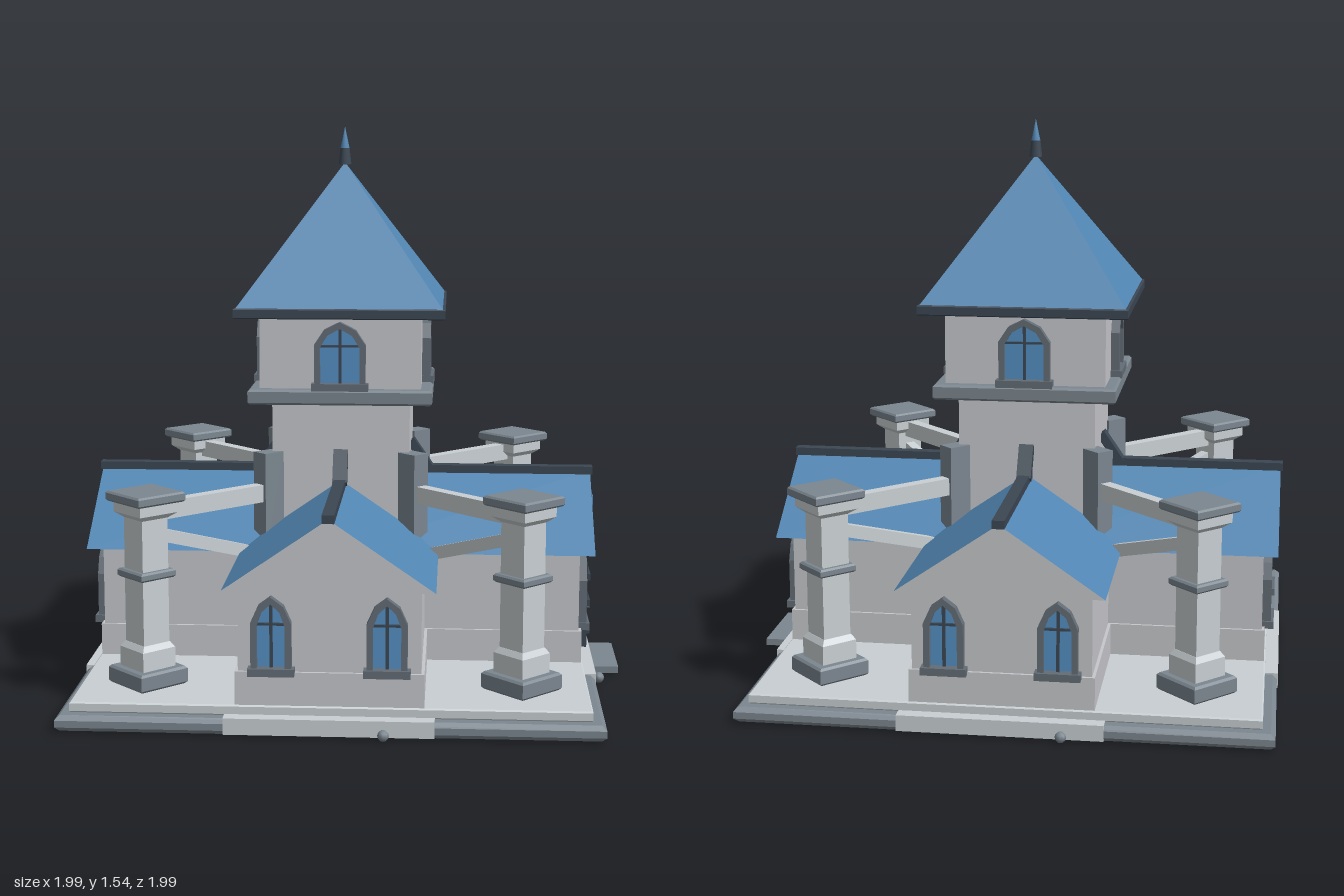
import * as THREE from 'three';

export function createModel() {
  const mat = (name, hex) => {
    const m = new THREE.MeshStandardMaterial({ color: hex });
    m.name = name;
    return m;
  };
  const wall = mat('pale wall', 0xc6c7cb);
  const stone = mat('light stone', 0xc8cfd2);
  const trim = mat('grey trim', 0x7b868f);
  const roof = mat('blue roof', 0x5186b3);
  const dark = mat('dark slate', 0x3b4753);
  const frame = mat('window frame', 0x636c75);
  const glass = mat('blue glass', 0x5590c4);

  const group = (name, parent) => {
    const g = new THREE.Group();
    g.name = name;
    parent.add(g);
    return g;
  };
  const add = (parent, name, geo, material) => {
    const m = new THREE.Mesh(geo, material);
    m.name = name;
    parent.add(m);
    return m;
  };
  // box given by its limits
  const box = (parent, name, material, x0, x1, y0, y1, z0, z1) => {
    const m = add(parent, name, new THREE.BoxGeometry(x1 - x0, y1 - y0, z1 - z0), material);
    m.position.set((x0 + x1) / 2, (y0 + y1) / 2, (z0 + z1) / 2);
    return m;
  };
  // square stack from [half width, y] pairs, flat-sided
  const stack = (parent, name, material, profile) => {
    const pts = profile.map(([h, y]) => new THREE.Vector2(h * Math.SQRT2, y));
    pts.unshift(new THREE.Vector2(0, pts[0].y));
    pts.push(new THREE.Vector2(0, pts[pts.length - 1].y));
    const geo = new THREE.LatheGeometry(pts, 4).rotateY(Math.PI / 4).toNonIndexed();
    geo.computeVertexNormals();
    return add(parent, name, geo, material);
  };
  const slab = (parent, name, material, h, y0, y1, b = 0.006) =>
    stack(parent, name, material, [[h - b, y0], [h, y0 + b], [h, y1 - b], [h - b, y1]]);
  // square beam between two points in the x-y plane
  const beam = (parent, name, material, x0, y0, x1, y1, tall, wide) => {
    const m = add(parent, name, new THREE.BoxGeometry(Math.hypot(x1 - x0, y1 - y0), tall, wide), material);
    m.position.set((x0 + x1) / 2, (y0 + y1) / 2, 0);
    m.rotation.z = Math.atan2(y1 - y0, x1 - x0);
    return m;
  };

  // pointed window with its base at y = 0, facing +z
  const arch = (S, w, h) => {
    const s = new S();
    s.moveTo(-w, 0);
    s.lineTo(w, 0);
    s.lineTo(w, h * 0.66);
    s.lineTo(w * 0.62, h * 0.88);
    s.lineTo(0, h);
    s.lineTo(-w * 0.62, h * 0.88);
    s.lineTo(-w, h * 0.66);
    s.closePath();
    return s;
  };
  const addWindow = (parent, x, y, z, w, h) => {
    const g = group('window', parent);
    g.position.set(x, y, z);
    const outer = arch(THREE.Shape, w, h);
    const hole = arch(THREE.Path, w - 0.016, h - 0.03);
    outer.holes.push(new THREE.Path(hole.getPoints().map((p) => p.setY(p.y + 0.012))));
    add(g, 'windowFrame', new THREE.ExtrudeGeometry(outer, { depth: 0.024, bevelEnabled: false }), frame);
    const pane = add(g, 'windowPane', new THREE.ShapeGeometry(arch(THREE.Shape, w - 0.01, h - 0.01)), glass);
    pane.position.z = 0.006;
    box(g, 'mullion', dark, -0.004, 0.004, 0.01, h - 0.015, 0.005, 0.014);
    box(g, 'crossBar', dark, -w + 0.012, w - 0.012, h * 0.62, h * 0.65, 0.005, 0.013);
    box(g, 'windowSill', frame, -w - 0.008, w + 0.008, -0.006, 0.014, 0, 0.032);
  };

  const model = new THREE.Group();
  model.name = 'crossShapedHall';
  const hall = group('hall', model);
  hall.rotation.y = Math.PI / 4;

  // stepped square base
  slab(hall, 'baseSlab', trim, 0.705, 0, 0.042, 0.012);
  slab(hall, 'floorSlab', stone, 0.672, 0.042, 0.07, 0.004);

  // four gabled wings, the first with the entrance
  const gable = new THREE.Shape([[-0.272, 0.378], [0.272, 0.378], [0, 0.565]].map((p) => new THREE.Vector2(...p)));
  for (let i = 0; i < 4; i++) {
    const wing = group(i ? 'wing' : 'entranceWing', hall);
    wing.rotation.y = i * Math.PI / 2;
    box(wing, 'baseInset', stone, -0.27, 0.27, 0.003, 0.046, 0.6, 0.708);
    box(wing, 'wingWalls', wall, -0.235, 0.235, 0.07, 0.38, 0.1, 0.66);
    box(wing, 'wingPlinth', wall, -0.243, 0.243, 0.07, 0.158, 0.1, 0.668);
    add(wing, 'gableRoof', new THREE.ExtrudeGeometry(gable, { depth: 0.7, bevelEnabled: false }), [wall, roof]);
    box(wing, 'ridgeCap', dark, -0.016, 0.016, 0.555, 0.577, 0.18, 0.706);
    const flare = box(wing, 'ridgeFlare', dark, -0.02, 0.02, 0.555, 0.655, 0.205, 0.23);
    flare.rotation.x = -0.6;
    for (const s of [-1, 1]) addWindow(wing, s * 0.148, 0.158, 0.66, 0.052, 0.2);
  }

  // entrance: double door, glass above it, gable slit and step
  const front = hall.getObjectByName('entranceWing');
  const door = group('door', front);
  for (const s of [-1, 1]) {
    const leaf = group('doorLeaf', door);
    leaf.position.x = s * 0.047;
    box(leaf, 'doorPanel', dark, -0.043, 0.043, 0.07, 0.312, 0.65, 0.693);
    for (const y of [0.11, 0.19, 0.265]) box(leaf, 'doorBand', dark, -0.046, 0.046, y, y + 0.018, 0.65, 0.701);
    box(leaf, 'doorHandle', frame, -s * 0.034 - 0.005, -s * 0.034 + 0.005, 0.165, 0.185, 0.69, 0.706);
  }
  box(door, 'doorCore', dark, -0.085, 0.085, 0.07, 0.305, 0.65, 0.68);
  box(door, 'transomGlass', glass, -0.065, 0.065, 0.312, 0.372, 0.655, 0.668);
  box(door, 'transomBar', dark, -0.004, 0.004, 0.312, 0.372, 0.655, 0.673);
  box(front, 'gableSlitFrame', frame, -0.02, 0.02, 0.432, 0.5, 0.695, 0.706);
  box(front, 'gableSlit', glass, -0.013, 0.013, 0.439, 0.493, 0.7, 0.709);
  box(front, 'frontStep', trim, -0.12, 0.12, 0.003, 0.022, 0.7, 0.782);

  // small stones beside the base
  for (const [x, z] of [[-0.19, 0.722], [-0.718, 0.14], [0.714, -0.16]]) {
    add(hall, 'pebble', new THREE.SphereGeometry(0.015, 8, 6), trim).position.set(x, 0.012, z);
  }

  // tower
  const tower = group('tower', hall);
  slab(tower, 'lowerTower', wall, 0.19, 0.3, 0.79, 0.002);
  slab(tower, 'towerLedge', trim, 0.252, 0.783, 0.825, 0.006);
  slab(tower, 'upperTower', wall, 0.221, 0.82, 1.025, 0.002);
  slab(tower, 'towerEave', dark, 0.286, 1.022, 1.05, 0.003);
  stack(tower, 'towerRoof', roof, [[0.28, 1.049], [0, 1.435]]);
  for (let i = 0; i < 4; i++) {
    const side = group('towerSide', tower);
    side.rotation.y = i * Math.PI / 2;
    addWindow(side, 0, 0.828, 0.221, 0.07, 0.182);
  }
  const finialBase = add(tower, 'finialBase', new THREE.CylinderGeometry(0.013, 0.018, 0.045, 8), dark);
  finialBase.position.y = 1.452;
  const spike = add(tower, 'finialSpike', new THREE.CylinderGeometry(0, 0.013, 0.062, 8), roof);
  spike.position.y = 1.504;

  // four free-standing pillars braced against the tower corners
  for (let i = 0; i < 4; i++) {
    const buttress = group('buttress', model);
    buttress.rotation.y = i * Math.PI / 2;
    const pillar = group('pillar', buttress);
    pillar.position.x = 0.7;
    slab(pillar, 'pillarBase', trim, 0.075, 0.07, 0.118, 0.006);
    stack(pillar, 'pillarFoot', stone, [[0.052, 0.116], [0.052, 0.17], [0.042, 0.185]]);
    slab(pillar, 'pillarShaft', stone, 0.041, 0.17, 0.55, 0.003);
    slab(pillar, 'pillarBand', trim, 0.055, 0.36, 0.383, 0.005);
    stack(pillar, 'capital', stone, [[0.041, 0.52], [0.06, 0.535], [0.06, 0.568]]);
    slab(pillar, 'pillarCap', trim, 0.075, 0.563, 0.59, 0.005);
    beam(buttress, 'upperStrut', stone, 0.67, 0.533, 0.27, 0.533, 0.048, 0.034);
    beam(buttress, 'lowerBrace', stone, 0.68, 0.475, 0.28, 0.35, 0.034, 0.03);
    box(buttress, 'cornerPost', trim, 0.25, 0.315, 0.36, 0.645, -0.026, 0.026);
  }
  return model;
}
